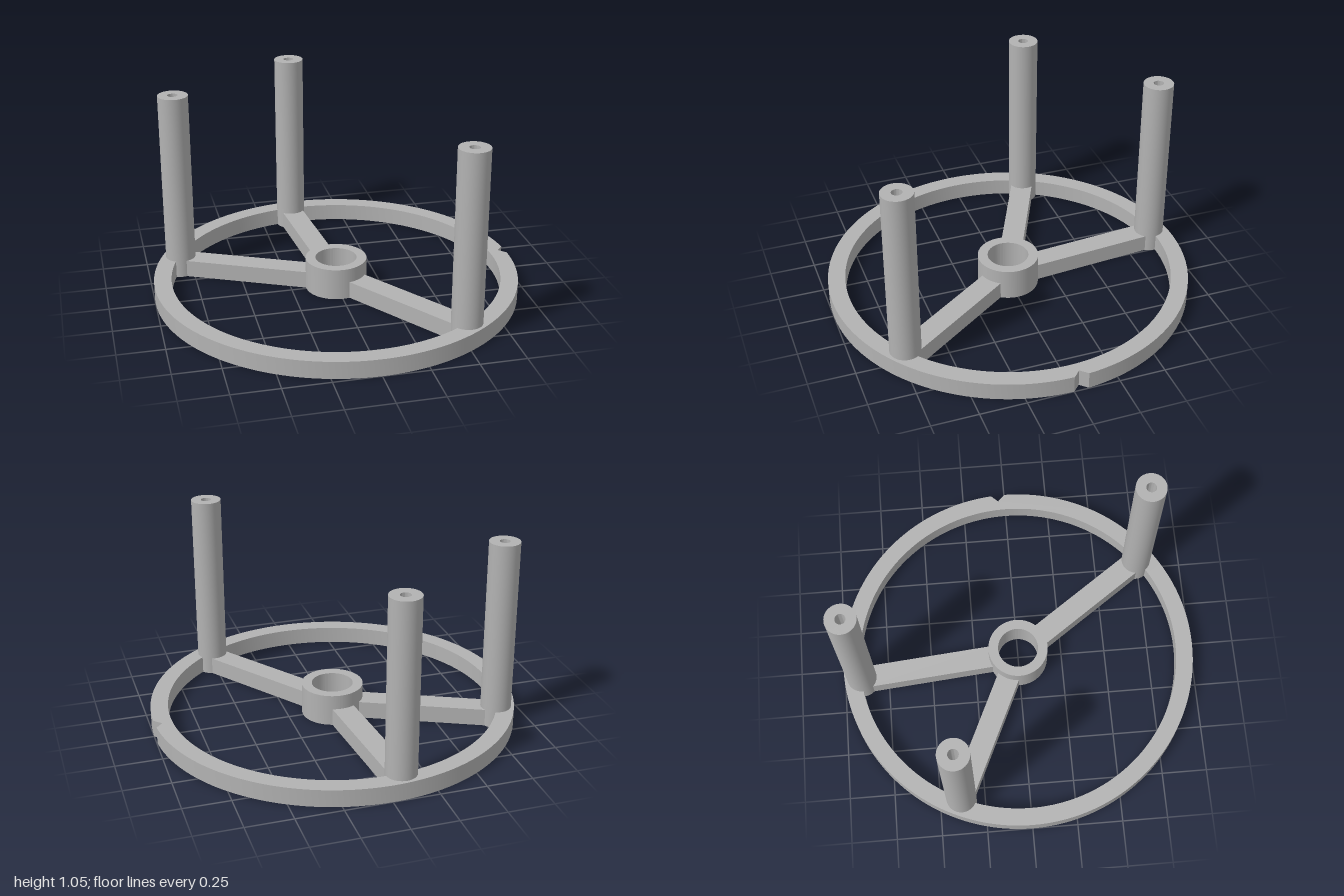
import * as THREE from 'three';
import { toCreasedNormals } from 'three/addons/utils/BufferGeometryUtils.js';

const RIM_H = 0.095, HUB_H = 0.175, POST_H = 1.05;
const POST_DIST = 0.9, POST_R = 0.083, SCREW_R = 0.028;

// Extrude a plan outline upwards from y = 0 (shape y becomes -z)
function extrudeUp(shape, depth) {
  const g = new THREE.ExtrudeGeometry(shape, { depth, bevelEnabled: false, curveSegments: 96 });
  g.rotateX(-Math.PI / 2);
  return toCreasedNormals(g, 0.5);
}

function circleHole(r) {
  return new THREE.Path().absarc(0, 0, r, 0, Math.PI * 2, true);
}

export function createModel() {
  const model = new THREE.Group();
  model.name = 'postedWheel';
  const grey = new THREE.MeshStandardMaterial({ color: 0xb2b2b2 });
  grey.name = 'grey';

  const add = (name, geometry, parent = model) => {
    const mesh = new THREE.Mesh(geometry, grey);
    mesh.name = name;
    parent.add(mesh);
    return mesh;
  };

  // Outer rim with a V notch in its right edge
  const notch = Math.asin(0.08);
  const rim = new THREE.Shape();
  rim.moveTo(0.96, 0.04);
  rim.lineTo(Math.cos(notch), Math.sin(notch));
  rim.absarc(0, 0, 1, notch, Math.PI * 2, false);
  rim.closePath();
  rim.holes.push(circleHole(0.905));
  add('rim', extrudeUp(rim, RIM_H));

  // Raised hub ring
  const hub = new THREE.Shape().absarc(0, 0, 0.168, 0, Math.PI * 2, false);
  hub.holes.push(circleHole(0.113));
  add('hub', extrudeUp(hub, HUB_H));

  // Post with a blind screw hole in the top
  const profile = [
    [0, 0], [POST_R, 0], [POST_R, POST_H],
    [SCREW_R, POST_H], [SCREW_R, POST_H - 0.3], [0, POST_H - 0.3],
  ].map(([x, y]) => new THREE.Vector2(x, y));
  const postGeometry = toCreasedNormals(new THREE.LatheGeometry(profile, 48), 0.5);

  // Spoke running from inside the hub wall to the post
  const start = 0.14, length = POST_DIST - start;
  const spokeGeometry = new THREE.BoxGeometry(length, RIM_H, 0.125);
  spokeGeometry.translate(start + length / 2, RIM_H / 2, 0);

  // Three unevenly spaced arms, angles measured from +x towards +z
  for (const degrees of [55, -95, -155]) {
    const arm = new THREE.Group();
    arm.name = 'arm';
    add('spoke', spokeGeometry, arm);
    add('post', postGeometry, arm).position.x = POST_DIST;
    arm.rotation.y = -THREE.MathUtils.degToRad(degrees);
    model.add(arm);
  }
  return model;
}
